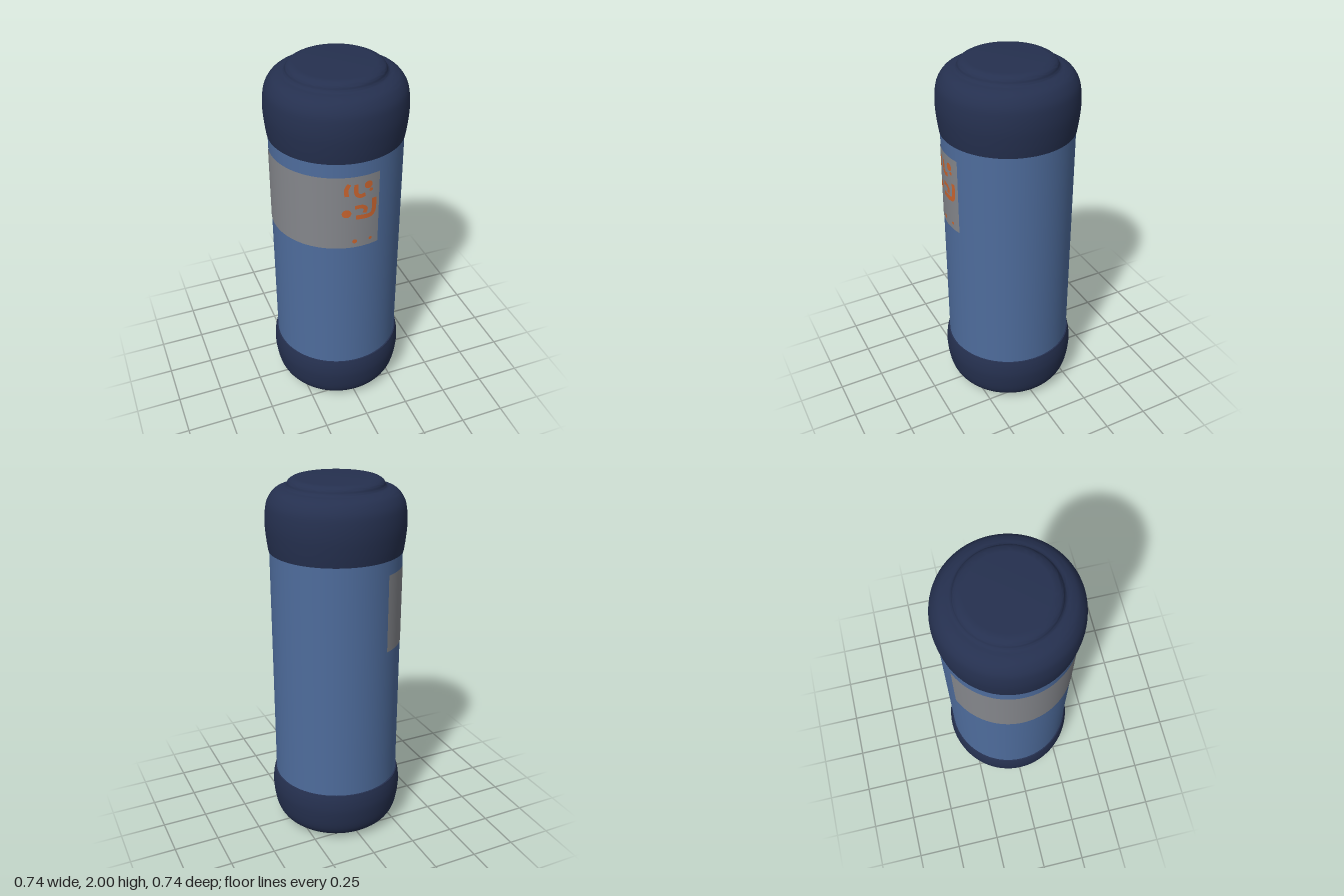
import * as THREE from 'three';
import { toCreasedNormals } from 'three/addons/utils/BufferGeometryUtils.js';

const mat = (name, color) => {
  const m = new THREE.MeshStandardMaterial({ color });
  m.name = name;
  return m;
};
const deg = THREE.MathUtils.degToRad;
const v2 = (p) => new THREE.Vector2(...p);

export function createModel() {
  const navy = mat('navy', 0x25304f);
  const blue = mat('steel blue', 0x4e6c9c);
  const grey = mat('label grey', 0x84868b);
  const orange = mat('orange', 0xc8642f);

  const R = 0.351; // body radius
  const model = new THREE.Group();
  model.name = 'flask';

  const add = (name, geometry, material, parent = model) => {
    const mesh = new THREE.Mesh(geometry, material);
    mesh.name = name;
    parent.add(mesh);
    return mesh;
  };

  // Turned part: straight start, smooth middle, straight end
  const turned = (start, curve, end) => {
    const mid = new THREE.SplineCurve(curve.map(v2)).getPoints(40);
    const pts = [...start.map(v2), ...mid, ...end.map(v2)];
    return toCreasedNormals(new THREE.LatheGeometry(pts, 72), deg(40));
  };

  // Body tube
  const body = add('body', new THREE.CylinderGeometry(R, R, 1.4, 72, 1, true), blue);
  body.position.y = 0.97;

  // Rounded base cup
  add('base', turned(
    [[0, 0.005], [0.235, 0.005], [0.24, 0]],
    [[0.25, 0.002], [0.295, 0.015], [0.335, 0.05], [0.358, 0.105], [0.371, 0.2], [0.368, 0.265], [0.358, 0.31]],
    [[0.345, 0.312]]
  ), navy);

  // Domed lid with a raised disc on top
  add('lid', turned(
    [[0.345, 1.63]],
    [[0.356, 1.63], [0.364, 1.69], [0.37, 1.77], [0.366, 1.84], [0.354, 1.89], [0.325, 1.932],
      [0.29, 1.951], [0.265, 1.957], [0.254, 1.967], [0.246, 1.985], [0.225, 1.998]],
    [[0.2, 2], [0, 2]]
  ), navy);

  // Label wrapped around the right-hand side
  const label = add('label', new THREE.CylinderGeometry(
    R + 0.002, R + 0.002, 0.425, 64, 1, true, deg(204.5), deg(172)), grey);
  label.position.y = 1.34;

  // Abstract printed marks, bent onto the label
  const marks = new THREE.Group();
  marks.name = 'labelMarks';
  model.add(marks);
  const wrap = (geometry) => {
    const p = geometry.attributes.position;
    const r = R + 0.005;
    for (let i = 0; i < p.count; i++) p.setZ(i, Math.sqrt(r * r - p.getX(i) ** 2));
    geometry.computeVertexNormals();
    return geometry;
  };
  const stroke = (points, width) => {
    const path = new THREE.SplineCurve(points.map(v2));
    const g = new THREE.PlaneGeometry(1, 1, 24, 1);
    const p = g.attributes.position;
    for (let i = 0; i < p.count; i++) {
      const u = THREE.MathUtils.clamp(p.getX(i) + 0.5, 0, 1);
      const side = p.getY(i) * width;
      const c = path.getPoint(u);
      const t = path.getTangent(u);
      p.setXY(i, c.x - t.y * side, c.y + t.x * side);
    }
    add('markStroke', wrap(g), orange, marks);
  };
  const dot = (x, y, r) =>
    add('markDot', wrap(new THREE.CircleGeometry(r, 16).translate(x, y, 0)), orange, marks);

  stroke([[-0.066, 1.515], [-0.08, 1.485], [-0.078, 1.445]], 0.022);
  stroke([[-0.03, 1.51], [-0.03, 1.46], [-0.01, 1.44], [0.018, 1.445]], 0.022);
  stroke([[0.068, 1.41], [0.068, 1.34], [0.045, 1.313], [-0.03, 1.315]], 0.026);
  stroke([[-0.035, 1.375], [0, 1.375], [0.022, 1.36], [0.015, 1.335]], 0.022);
  [[0.035, 1.497, 0.022], [0.05, 1.465, 0.01], [-0.078, 1.342, 0.024],
    [-0.035, 1.167, 0.013], [0.052, 1.167, 0.009]].forEach((d) => dot(...d));

  return model;
}
